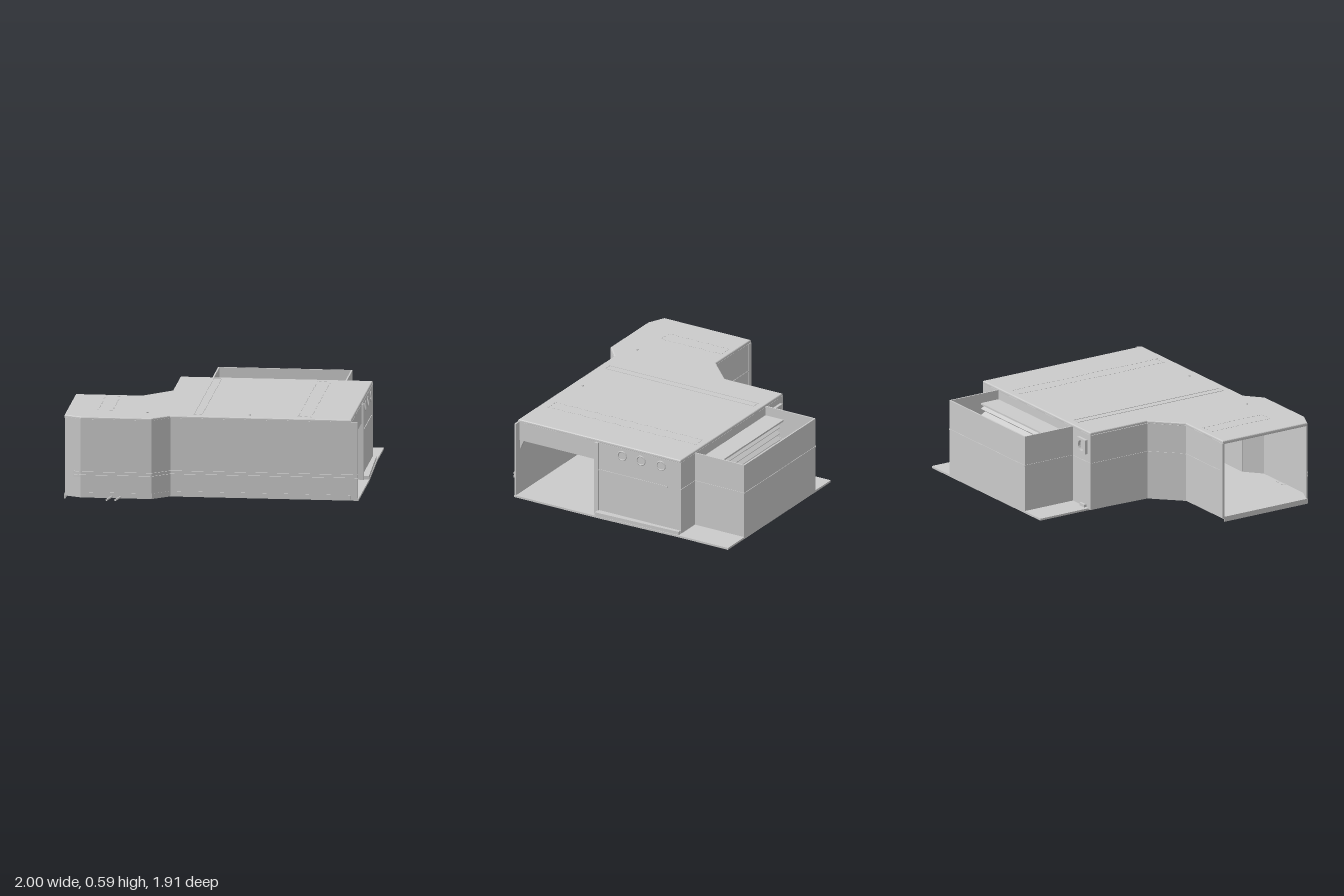
import * as THREE from 'three';

const grey = new THREE.MeshStandardMaterial({ color: 0xcccccc, side: THREE.DoubleSide });

export function createModel() {
  const model = new THREE.Group();

  const add = (name, geometry, parent = model) => {
    const mesh = new THREE.Mesh(geometry, grey);
    mesh.name = name;
    parent.add(mesh);
    return mesh;
  };
  const group = (name) => {
    const g = new THREE.Group();
    g.name = name;
    model.add(g);
    return g;
  };
  // Box given by its extents on each axis
  const box = (name, [x0, x1], [y0, y1], [z0, z1], parent) => {
    const mesh = add(name, new THREE.BoxGeometry(x1 - x0, y1 - y0, z1 - z0), parent);
    mesh.position.set((x0 + x1) / 2, (y0 + y1) / 2, (z0 + z1) / 2);
    return mesh;
  };
  // Horizontal slab from an outline of [x, z] points
  const slab = (name, outline, y0, y1, bevel = 0) => {
    const shape = new THREE.Shape(outline.map(([x, z]) => new THREE.Vector2(x, -z)));
    const geometry = new THREE.ExtrudeGeometry(shape, {
      depth: y1 - y0 - 2 * bevel, bevelEnabled: bevel > 0,
      bevelSize: bevel, bevelThickness: bevel, bevelOffset: -bevel, bevelSegments: 3
    });
    geometry.rotateX(-Math.PI / 2).translate(0, y0 + bevel, 0);
    return add(name, geometry);
  };
  // Upright panels following a path of [x, z] points
  const walls = (name, path, y0, y1, thick = 0.012) => {
    const g = group(name);
    for (let i = 0; i + 1 < path.length; i++) {
      const [ax, az] = path[i], [bx, bz] = path[i + 1];
      const length = Math.hypot(bx - ax, bz - az);
      const panel = add(name + 'Panel', new THREE.BoxGeometry(length + thick * 0.6, y1 - y0, thick), g);
      panel.position.set((ax + bx) / 2, (y0 + y1) / 2, (az + bz) / 2);
      panel.rotation.y = -Math.atan2(bz - az, bx - ax);
    }
    return g;
  };

  const backPath = [[-0.99, 0.1], [-0.55, 0.1], [-0.36, -0.09], [-0.36, -0.55], [0.945, -0.55]];
  const frontPath = [[-0.99, 0.785], [-0.88, 0.835], [-0.4, 0.835], [-0.285, 0.735], [0.99, 0.735]];

  // Roof and floor
  slab('roof', [[-1, 0.095], [-0.55, 0.095], [-0.36, -0.095], [-0.36, -0.555], [0.95, -0.555],
    [0.95, 0.74], [-0.285, 0.74], [-0.4, 0.84], [-0.88, 0.84], [-1, 0.785]], 0.555, 0.58, 0.008);
  slab('floor', [[-1, 0.1], [-0.55, 0.1], [-0.36, -0.09], [-0.34, -0.55], [-0.34, -0.95], [0.98, -0.95],
    [0.98, -0.55], [1, 0.1], [1, 0.74], [-0.285, 0.74], [-0.4, 0.84], [-0.88, 0.84], [-1, 0.785]], 0.022, 0.036);

  // Outer walls, inner passage wall and side panel
  walls('backWall', backPath, 0.03, 0.562);
  walls('frontWall', frontPath, 0.03, 0.565);
  walls('passageWall', [[-0.55, 0.1], [0.945, 0.1]], 0.03, 0.56);
  walls('sideWall', [[0.945, -0.55], [0.945, 0.105]], 0.03, 0.56);
  walls('lintel', [[0.945, 0.1], [0.945, 0.735]], 0.43, 0.562);

  // Side strip leaning out beside the side wall
  slab('sideSkirt', [[0.94, -0.555], [0.975, -0.555], [0.998, 0.1], [0.94, 0.1]], 0.03, 0.06);
  box('openingPost', [0.935, 0.965], [0.03, 0.56], [0.095, 0.125]);
  box('openingPost', [-1, -0.965], [0.03, 0.56], [0.09, 0.11]);
  box('endSill', [-1, -0.992], [0, 0.036], [0.11, 0.79]);

  // Corner brace inside the opening
  const brace = new THREE.Shape([[0, 0], [0.04, 0], [0, -0.09]].map(p => new THREE.Vector2(...p)));
  const braceMesh = add('cornerBrace', new THREE.ExtrudeGeometry(brace, { depth: 0.02, bevelEnabled: false }));
  braceMesh.rotation.y = Math.PI / 2;
  braceMesh.position.set(0.925, 0.435, 0.735);

  // Front bumper rails and base band
  const shift = (path, d) => path.map(([x, z]) => [x, z + d]);
  const rail = [[-0.925, 0.82], ...frontPath.slice(1)];
  walls('upperRail', shift(rail, 0.006), 0.188, 0.202, 0.018);
  walls('lowerRail', shift(rail, 0.006), 0.165, 0.18, 0.018);
  walls('baseBand', [...shift(rail.slice(1, 4), 0.003), [0.94, 0.738]], 0.03, 0.06);

  // Thin trim line around the back and side
  walls('backTrim', backPath, 0.355, 0.364, 0.019);
  walls('sideTrim', [[0.947, 0.1], [0.947, -0.45]], 0.355, 0.364, 0.016);

  // Open-topped rear annex
  const annexPath = [[-0.143, -0.555], [-0.143, -0.945], [0.763, -0.945], [0.763, -0.555]];
  walls('annexWall', annexPath, 0.03, 0.568, 0.01);
  walls('annexTrim', annexPath, 0.355, 0.364, 0.017);
  box('annexLedge', [-0.14, 0.76], [0.49, 0.502], [-0.7, -0.555]);
  const louvres = group('annexLouvres');
  for (let i = 0; i < 9; i++) {
    const slat = box('louvre', [-0.1, 0.76], [0, 0.008], [-0.025, 0.025], louvres);
    slat.position.y = 0.47 - i * 0.045;
    slat.position.z = -0.675;
    slat.rotation.x = -0.5;
  }
  // Cables lying on the annex floor
  [[0.28, 0.3], [0.33, 0.35], [0.37, 0.38], [0.42, 0.41]].forEach(([x0, x1]) => {
    const path = new THREE.LineCurve3(new THREE.Vector3(x0, 0.042, -0.94), new THREE.Vector3(x1, 0.042, -0.7));
    add('annexCable', new THREE.TubeGeometry(path, 1, 0.005, 6));
  });

  // Round ports on the side wall and under the floor
  for (const z of [-0.09, -0.24, -0.4]) {
    const port = add('sidePort', new THREE.TorusGeometry(0.032, 0.005, 8, 28));
    port.rotation.y = Math.PI / 2;
    port.position.set(0.952, 0.505, z);
    const drain = add('floorPort', new THREE.TorusGeometry(0.032, 0.005, 8, 28));
    drain.rotation.x = Math.PI / 2;
    drain.position.set(0.84, 0.02, z);
  }

  // Vent frame and small outlet on the back wall
  const vent = new THREE.Shape([[-0.05, -0.05], [0.05, -0.05], [0.05, 0.05], [-0.05, 0.05]].map(p => new THREE.Vector2(...p)));
  vent.holes.push(new THREE.Path().absarc(0, 0, 0.036, 0, Math.PI * 2));
  add('backVent', new THREE.ExtrudeGeometry(vent, { depth: 0.02, bevelEnabled: false })).position.set(-0.275, 0.47, -0.576);
  box('backOutlet', [-0.31, -0.25], [0.03, 0.055], [-0.573, -0.55]);

  // Roof details: long framed strip, dashed outlines and studs
  const rect = (x0, x1, z0, z1) => [[x0, z0], [x1, z0], [x1, z1], [x0, z1], [x0, z0]];
  walls('roofStrip', rect(-0.13, -0.075, -0.5, 0.68), 0.578, 0.583, 0.006);
  const dashes = group('roofDashes');
  for (const [x0, x1, z0, z1] of [[-0.79, -0.69, 0.14, 0.62], [0.58, 0.67, -0.5, 0.67]]) {
    for (let z = z0; z < z1; z += 0.04)
      for (const x of [x0, x1]) box('roofDash', [x - 0.003, x + 0.003], [0.579, 0.582], [z, z + 0.022], dashes);
    for (let x = x0 + 0.01; x < x1; x += 0.035)
      for (const z of [z0, z1]) box('roofDash', [x, x + 0.018], [0.579, 0.582], [z - 0.003, z + 0.003], dashes);
  }
  for (const x of [-0.45, 0.25])
    add('roofStud', new THREE.CylinderGeometry(0.008, 0.008, 0.012, 16)).position.set(x, 0.581, 0.66);

  // Loose supply hoses at the front
  for (const x of [-0.6, -0.66]) {
    const hose = new THREE.QuadraticBezierCurve3(new THREE.Vector3(x, 0.033, 0.8),
      new THREE.Vector3(x - 0.015, 0.033, 0.87), new THREE.Vector3(x - 0.035, 0.033, 0.955));
    add('supplyHose', new THREE.TubeGeometry(hose, 10, 0.007, 8));
  }
  return model;
}
